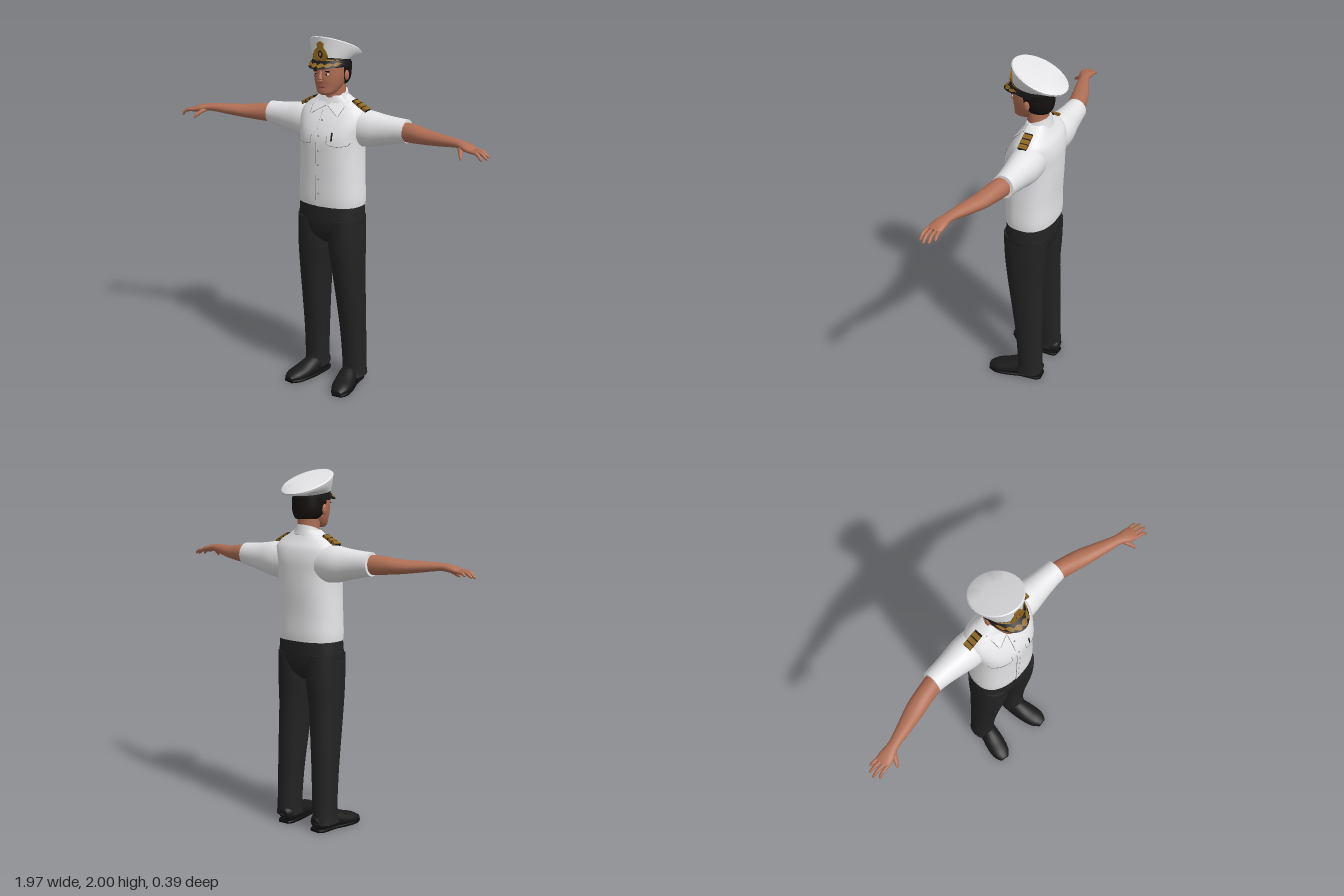
import * as THREE from 'three';
import { mergeVertices, toCreasedNormals } from 'three/addons/utils/BufferGeometryUtils.js';

const V = (x, y, z) => new THREE.Vector3(x, y, z);
const mat = (name, color) => Object.assign(new THREE.MeshStandardMaterial({ color, side: THREE.DoubleSide }), { name });

// Catmull-Rom smoothing of rows of numbers
function smooth(rows, sub) {
  if (sub < 2) return rows;
  const out = [], at = i => rows[Math.min(rows.length - 1, Math.max(0, i))];
  for (let i = 0; i < rows.length - 1; i++) {
    const [a, b, c, d] = [at(i - 1), at(i), at(i + 1), at(i + 2)];
    for (let s = 0; s < sub; s++) {
      const t = s / sub;
      out.push(b.map((v, k) => v + 0.5 * t * (c[k] - a[k] +
        t * (2 * a[k] - 5 * v + 4 * c[k] - d[k] + t * (3 * (v - c[k]) + d[k] - a[k])))));
    }
  }
  out.push(rows[rows.length - 1]);
  return out;
}

// Skin over rings {c, u, v}, with flat end caps; p is the roundness exponent
function loft(rings, p = 2, n = 32) {
  const pos = [], idx = [], m = rings.length;
  const pw = x => Math.sign(x) * Math.abs(x) ** (2 / p);
  const ring = ({ c, u, v }) => {
    for (let i = 0; i < n; i++) {
      const a = i / n * Math.PI * 2;
      const q = c.clone().addScaledVector(u, pw(Math.cos(a))).addScaledVector(v, pw(Math.sin(a)));
      pos.push(q.x, q.y, q.z);
    }
  };
  rings.forEach(ring);
  for (let k = 0; k < m - 1; k++) for (let i = 0; i < n; i++) {
    const a = k * n + i, b = k * n + (i + 1) % n;
    idx.push(a, b, a + n, b, b + n, a + n);
  }
  for (const [r, end] of [[rings[0], false], [rings[m - 1], true]]) {
    const s = pos.length / 3;
    ring(r);
    pos.push(r.c.x, r.c.y, r.c.z);
    for (let i = 0; i < n; i++) {
      const j = (i + 1) % n;
      idx.push(s + n, s + (end ? i : j), s + (end ? j : i));
    }
  }
  const g = new THREE.BufferGeometry();
  g.setAttribute('position', new THREE.Float32BufferAttribute(pos, 3));
  g.setIndex(idx);
  g.computeVertexNormals();
  return g;
}

// Upright form, rows [y, cx, cz, rx, rz, slope]
const column = (rows, p = 2, sub = 4) => loft(smooth(rows, sub).map(([y, cx, cz, rx, rz, sl = 0]) =>
  ({ c: V(cx, y, cz), u: V(0, sl * rz, rz), v: V(rx, 0, 0) })), p);

// Form along a path, rows [x, y, z, vertical radius, sideways radius]
function limb(rows, n = 24, sub = 4) {
  const r = smooth(rows, sub), P = r.map(q => V(q[0], q[1], q[2]));
  return loft(r.map((q, i) => {
    const t = P[Math.min(i + 1, P.length - 1)].clone().sub(P[Math.max(i - 1, 0)]).normalize();
    const u = V(0, 1, 0).addScaledVector(t, -t.y).normalize();
    return { c: P[i], u: u.clone().multiplyScalar(q[3]), v: t.clone().cross(u).multiplyScalar(q[4]) };
  }), 2, n);
}

function mirror(geo) {
  const g = geo.index ? geo.clone() : mergeVertices(geo);
  g.scale(-1, 1, 1);
  const a = g.index.array;
  for (let i = 0; i < a.length; i += 3) [a[i], a[i + 1]] = [a[i + 1], a[i]];
  return g;
}

// Shirt body profile; also used to drape details over the chest
const TORSO = [[1.075, 0, -.015, .19, .135], [1.12, 0, -.015, .192, .138], [1.22, 0, -.015, .187, .138],
  [1.35, 0, -.018, .182, .143], [1.45, 0, -.02, .185, .144], [1.52, 0, -.032, .198, .132],
  [1.58, 0, -.043, .196, .108], [1.62, 0, -.045, .165, .082], [1.65, 0, -.043, .115, .068], [1.675, 0, -.042, .075, .06]];
const TP = 2.4, TS = smooth(TORSO, 4);
function chestZ(x, y) {
  let i = 0;
  while (i < TS.length - 2 && TS[i + 1][0] < y) i++;
  const t = (y - TS[i][0]) / (TS[i + 1][0] - TS[i][0]);
  const [, , cz, rx, rz] = TS[i].map((v, k) => v + (TS[i + 1][k] - v) * t);
  return cz + rz * Math.max(0, 1 - Math.abs(x / rx) ** TP) ** (1 / TP);
}
function drape(x0, y0, x1, y1, off) {
  const g = new THREE.PlaneGeometry(x1 - x0, y1 - y0, 8, 12).translate((x0 + x1) / 2, (y0 + y1) / 2, 0);
  const a = g.attributes.position;
  for (let i = 0; i < a.count; i++) a.setZ(i, chestZ(a.getX(i), a.getY(i)) + off);
  g.computeVertexNormals();
  return g;
}
function seam(points) {
  const path = new THREE.CurvePath(), p = [];
  for (let i = 0; i < points.length - 1; i++) for (let s = 0; s <= 6; s++) {
    const x = THREE.MathUtils.lerp(points[i][0], points[i + 1][0], s / 6);
    const y = THREE.MathUtils.lerp(points[i][1], points[i + 1][1], s / 6);
    if (!s && i) continue;
    p.push(V(x, y, chestZ(x, y) + .002));
  }
  for (let i = 0; i < p.length - 1; i++) path.add(new THREE.LineCurve3(p[i], p[i + 1]));
  return new THREE.TubeGeometry(path, p.length * 2, .0016, 5);
}

// Cap peak strip between angles -a and a; t0, t1 give its edges from band (0) to rim (1)
function peakStrip(a, t0, t1, lift) {
  const n = 64, pos = [], idx = [];
  for (let i = 0; i <= n; i++) {
    const q = (i / n * 2 - 1) * a;
    for (const t of [t0(q), t1(q)]) {
      const rim = 1.833 + .018 * (1 - Math.cos(q));
      pos.push((.097 + .007 * t) * Math.sin(q), 1.874 + (rim - 1.874) * t + lift, -.008 + (.106 + .057 * t) * Math.cos(q) + lift * .5);
    }
    if (i < n) idx.push(2 * i, 2 * i + 1, 2 * i + 2, 2 * i + 1, 2 * i + 3, 2 * i + 2);
  }
  const g = new THREE.BufferGeometry();
  g.setAttribute('position', new THREE.Float32BufferAttribute(pos, 3));
  g.setIndex(idx);
  g.computeVertexNormals();
  return g;
}

export function createModel() {
  const root = new THREE.Group();
  const white = mat('whiteCloth', 0xe4e4e6), skin = mat('skin', 0xb06f55), dark = mat('trouserCloth', 0x232324),
    black = mat('blackLeather', 0x1a1a1b), hair = mat('hair', 0x14110f), gold = mat('gold', 0x8f6720),
    lip = mat('lips', 0x8a4a3c), grey = mat('seamGrey', 0x8a8a8c), sole = mat('sole', 0x0d0d0d);
  const add = (name, geo, m) => {
    const mesh = new THREE.Mesh(geo, m);
    mesh.name = name;
    root.add(mesh);
  };
  const pair = (name, geo, m) => {
    add(name + 'Left', geo, m);
    add(name + 'Right', mirror(geo), m);
  };
  const ball = (x, y, z, a, b, c) => new THREE.SphereGeometry(1, 16, 12).scale(a, b, c).translate(x, y, z);

  // Trousers
  add('trouserSeat', column([[.85, 0, -.01, .04, .06], [.9, 0, -.01, .15, .112], [.97, 0, -.01, .192, .131],
    [1.03, 0, -.011, .193, .133], [1.1, 0, -.012, .186, .13]], 2.3), dark);
  pair('trouserLeg', column([[.045, .132, -.047, .069, .08], [.1, .13, -.05, .065, .073], [.3, .125, -.042, .07, .077],
    [.5, .118, -.028, .077, .09], [.7, .109, -.013, .086, .105], [.85, .1, -.01, .096, .12], [1, .097, -.01, .095, .126]], 2.2), dark);

  // Shoes, flattened at the ground
  const shoe = [[.115, .05, -.123, .028, .03], [.118, .055, -.09, .05, .048], [.125, .055, 0, .055, .052],
    [.143, .037, .08, .042, .058], [.16, .028, .15, .03, .052], [.167, .022, .194, .012, .026]];
  const clampY = (g, lo, hi) => {
    const a = g.attributes.position;
    for (let i = 0; i < a.count; i++) a.setY(i, THREE.MathUtils.clamp(a.getY(i), lo, hi));
    g.computeVertexNormals();
    return g;
  };
  pair('shoe', clampY(limb(shoe), .012, 1), black);
  pair('shoeSole', clampY(limb(shoe.map(([x, , z, , w]) => [x, .007, z, .04, w + .002])), 0, .014), sole);

  // Shirt
  add('shirtBody', column(TORSO, TP), white);
  pair('sleeve', limb([[.06, 1.5, -.05, .1, .085], [.2, 1.503, -.056, .1, .09], [.3, 1.508, -.056, .083, .075],
    [.38, 1.514, -.056, .07, .065], [.445, 1.518, -.055, .063, .06]], 32), white);
  add('collarBand', column([[1.625, 0, -.04, .092, .075, -.35], [1.655, 0, -.042, .076, .068, -.35], [1.685, 0, -.043, .068, .063, -.35]]), white);
  const flap = new THREE.BufferGeometry().setFromPoints([V(.068, 1.69, -.02), V(.006, 1.622, .044),
    V(.088, 1.573, chestZ(.088, 1.573) + .012), V(.108, 1.648, -.005)]);
  flap.setIndex([0, 1, 2, 0, 2, 3]);
  flap.computeVertexNormals();
  pair('collarFlap', flap, white);
  const edge = new THREE.CurvePath();
  edge.add(new THREE.LineCurve3(V(.006, 1.622, .044), V(.088, 1.573, chestZ(.088, 1.573) + .012)));
  edge.add(new THREE.LineCurve3(V(.088, 1.573, chestZ(.088, 1.573) + .012), V(.108, 1.648, -.005)));
  pair('collarEdge', new THREE.TubeGeometry(edge, 12, .0015, 5), grey);
  add('placket', drape(-.016, 1.075, .016, 1.61, .003), white);
  add('placketSeam', seam([[-.017, 1.08], [-.017, 1.6]]), grey);
  for (let i = 0; i < 6; i++) {
    const y = 1.15 + i * .08;
    add('button', ball(0, y, chestZ(0, y) + .004, .005, .005, .003), grey);
  }
  pair('pocketFlap', drape(.052, 1.43, .162, 1.475, .003), white);
  pair('pocketSeam', seam([[.05, 1.475], [.05, 1.435], [.06, 1.425], [.107, 1.418], [.155, 1.425], [.165, 1.44]]), grey);
  add('pen', drape(.075, 1.45, .084, 1.495, .006), black);

  // Shoulder boards
  const board = (w, h, d, x, lift) => new THREE.BoxGeometry(w, h, d).translate(x, lift, 0).rotateZ(-.5).translate(.165, 1.625, -.042);
  pair('shoulderBoard', board(.098, .014, .046, 0, 0), black);
  for (const x of [-.028, .004, .034]) pair('shoulderStripe', board(.024, .016, .047, x, .002), gold);

  // Arms and hands
  pair('arm', limb([[.4, 1.515, -.055, .054, .05], [.5, 1.515, -.035, .049, .05], [.6, 1.513, -.01, .038, .049],
    [.7, 1.518, .022, .03, .039], [.8, 1.522, .052, .021, .029], [.86, 1.513, .068, .02, .04], [.905, 1.502, .077, .013, .04]]), skin);
  for (const [x, y, z, w] of [[.955, 1.486, .04, -.03], [.978, 1.479, .062, -.01], [.983, 1.474, .09, .011], [.965, 1.473, .117, .031]])
    pair('finger', limb([[.88, 1.506, .074 + w, .009, .009], [(.9 + x) / 2, 1.5, (.076 + w + z) / 2, .009, .009],
      [x - .008, y + .003, z, .007, .007], [x, y, z, .002, .002]], 10), skin);
  pair('thumb', limb([[.815, 1.515, .065, .014, .014], [.838, 1.498, .1, .012, .013], [.853, 1.478, .127, .009, .009], [.86, 1.466, .139, .003, .003]], 10), skin);

  // Neck and head
  add('neck', column([[1.6, 0, -.04, .064, .06], [1.68, 0, -.035, .061, .058], [1.77, 0, -.03, .064, .066]]), skin);
  add('head', column([[1.684, 0, .048, .026, .03], [1.697, 0, .04, .048, .054], [1.73, 0, .016, .068, .079], [1.77, 0, .001, .081, .099],
    [1.81, 0, -.006, .088, .106], [1.85, 0, -.008, .09, .108]], 2.2), skin);
  add('hair', column([[1.735, 0, -.045, .062, .062], [1.755, 0, -.036, .078, .081], [1.79, 0, -.03, .09, .091], [1.85, 0, -.022, .0945, .098]], 2.2), hair);
  pair('ear', ball(.092, 1.787, -.012, .009, .028, .017), skin);
  add('nose', limb([[0, 1.82, .092, .008, .008], [0, 1.79, .104, .01, .01], [0, 1.769, .108, .011, .015], [0, 1.758, .098, .006, .012]], 16), skin);
  pair('eyeWhite', ball(.034, 1.8, .091, .013, .006, .005), white);
  pair('iris', ball(.034, 1.8, .0945, .005, .005, .003), hair);
  pair('eyebrow', ball(.036, 1.816, .093, .019, .004, .005), hair);
  add('lips', ball(0, 1.732, .093, .024, .006, .006), lip);
  add('chin', ball(0, 1.704, .077, .026, .014, .016), skin);

  // Peaked cap
  add('capBand', column([[1.834, 0, -.01, .096, .109], [1.85, 0, -.008, .097, .108], [1.885, 0, -.008, .1, .107, .1]], 2, 2), black);
  add('capCrown', toCreasedNormals(column([[1.874, 0, -.008, .101, .109, .15], [1.896, 0, -.027, .119, .128, .28], [1.918, 0, -.043, .133, .144, .4],
    [1.932, 0, -.045, .136, .148, .42], [1.938, 0, -.045, .13, .142, .42], [1.943, 0, -.045, .06, .066, .42]], 2, 1), .6), white);
  add('capPeak', peakStrip(1.4, () => 0, () => 1, 0), black);
  add('peakLeaves', peakStrip(1.2, q => .62 - .22 * Math.abs(Math.sin(q * 8)), q => .7 + .22 * Math.abs(Math.sin(q * 8)), .003), gold);
  add('chinCord', peakStrip(1.45, () => -.12, () => .12, .004), gold);

  // Cap badge: wreath, dark centre and crest
  const wreath = new THREE.Shape([[-.03, 1.872], [.03, 1.872], [.046, 1.9], [.034, 1.925], [.018, 1.94], [.02, 1.962], [0, 1.975],
    [-.02, 1.962], [-.018, 1.94], [-.034, 1.925], [-.046, 1.9]].map(q => new THREE.Vector2(...q)));
  const hole = new THREE.Path().absellipse(0, 1.905, .018, .02, 0, Math.PI * 2, true);
  wreath.holes.push(hole);
  add('capBadge', new THREE.ExtrudeGeometry(wreath, { depth: .009, bevelEnabled: false }).translate(0, 0, .099), gold);
  add('badgeCentre', ball(0, 1.905, .1, .018, .02, .006), black);
  add('badgeBoss', ball(0, 1.905, .106, .008, .011, .004), gold);
  return root;
}
